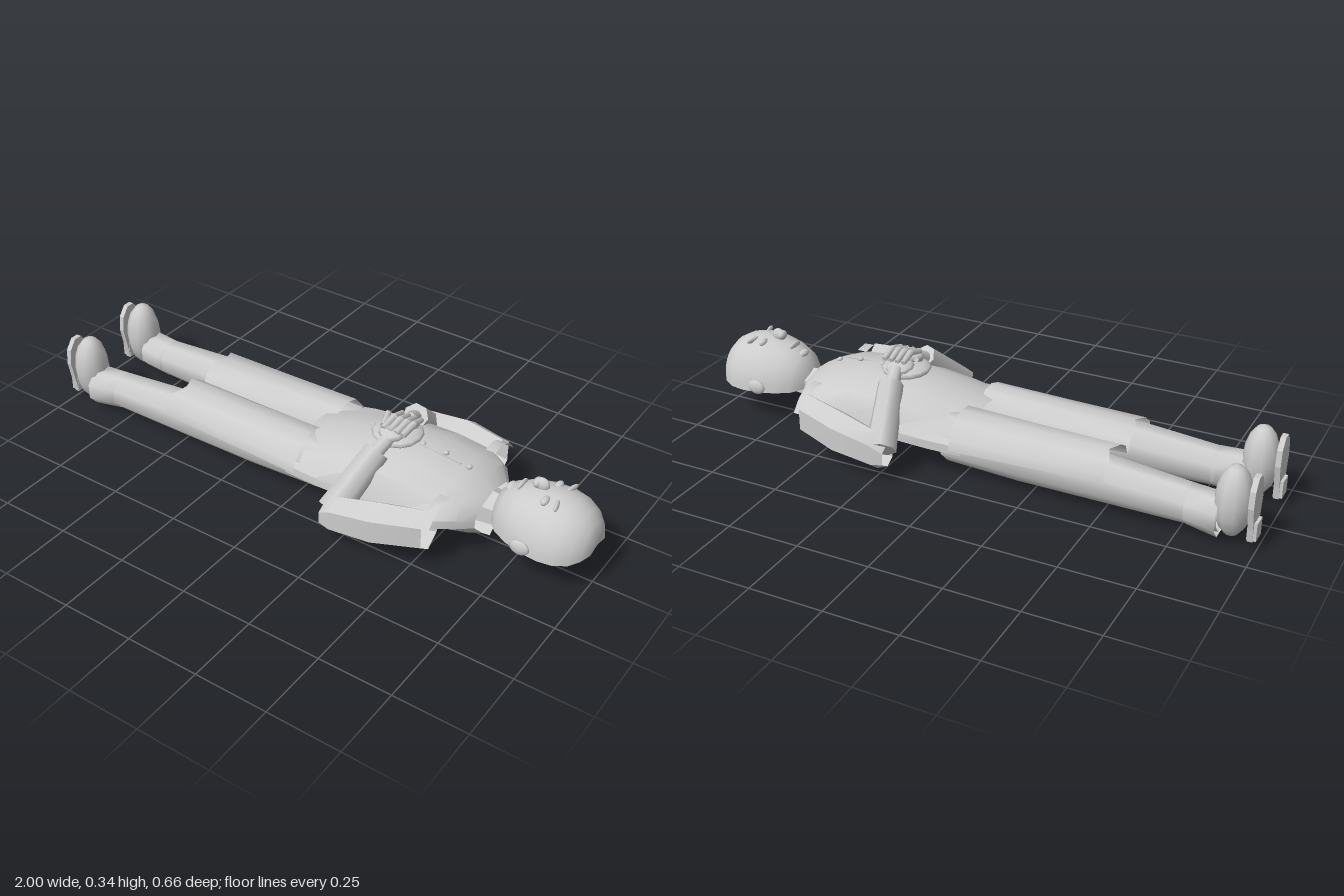
import * as THREE from 'three';
import { toCreasedNormals } from 'three/addons/utils/BufferGeometryUtils.js';

const V = (x, y, z) => new THREE.Vector3(x, y, z);

export function createModel() {
  const model = new THREE.Group();
  const grey = new THREE.MeshStandardMaterial({ color: 0xcccccc, side: THREE.DoubleSide });
  grey.name = 'plain grey';

  const add = (name, geo, parent = model) => {
    const m = new THREE.Mesh(geo, grey);
    m.name = name;
    parent.add(m);
    return m;
  };

  // Skin over rows of points, open at the ends
  const skin = (rows, closed, crease = 0.7) => {
    const pos = [], n = rows[0].length, span = closed ? n : n - 1;
    for (let i = 0; i < rows.length - 1; i++) {
      for (let j = 0; j < span; j++) {
        const k = (j + 1) % n;
        const a = rows[i][j], b = rows[i][k], c = rows[i + 1][k], d = rows[i + 1][j];
        for (const p of [a, b, c, a, c, d]) pos.push(p.x, p.y, p.z);
      }
    }
    const g = new THREE.BufferGeometry();
    g.setAttribute('position', new THREE.Float32BufferAttribute(pos, 3));
    g.computeVertexNormals();
    return toCreasedNormals(g, crease);
  };

  // Ring across x: centre y, z and half sizes
  const ring = ([x, y, z, ry, rz], sides) => Array.from({ length: sides }, (_, i) => {
    const a = (i + 0.5) / sides * Math.PI * 2;
    return V(x, y + ry * Math.sin(a), z + rz * Math.cos(a));
  });
  const tube = (list, sides, crease) => skin(list.map(s => ring(s, sides)), true, crease);

  // Tapered limb between two points
  const limb = (name, a, b, ra, rb, sides, parent, open = false) => {
    const m = add(name, new THREE.CylinderGeometry(rb, ra, a.distanceTo(b), sides, 1, open), parent);
    m.position.copy(a).lerp(b, 0.5);
    m.quaternion.setFromUnitVectors(V(0, 1, 0), b.clone().sub(a).normalize());
    return m;
  };
  const ball = (name, p, s, parent, w = 12, h = 8) => {
    const m = add(name, new THREE.SphereGeometry(1, w, h), parent);
    m.position.copy(p);
    m.scale.copy(s);
    return m;
  };

  // Torso shell with a keel-shaped back: x, back y, half width, side y, chest top
  const chest = [
    [-0.02, 0.003, 0.195, 0.11, 0.205], [0.1, 0, 0.205, 0.115, 0.235], [0.27, 0, 0.205, 0.12, 0.268],
    [0.42, 0, 0.21, 0.13, 0.265], [0.54, 0.002, 0.205, 0.14, 0.245], [0.6, 0.005, 0.165, 0.14, 0.225],
    [0.64, 0.012, 0.11, 0.125, 0.195]
  ];
  add('torso', skin(chest.map(([x, b, w, s, t]) => [
    [0, b], [w * 0.5, b + (s - b) * 0.42], [w, s - 0.01], [w, s + 0.02], [w * 0.78, s + (t - s) * 0.68],
    [w * 0.4, t - 0.012], [0, t], [-w * 0.4, t - 0.012], [-w * 0.78, s + (t - s) * 0.68],
    [-w, s + 0.02], [-w, s - 0.01], [-w * 0.5, b + (s - b) * 0.42]
  ].map(([z, y]) => V(x, y, z))), true, 0.6));

  // Coat tail behind the thighs
  add('coatTail', skin([0, 1].map(i => [[-0.2, 0.11], [-0.1, 0.05], [0, 0.003], [0.1, 0.05], [0.2, 0.11]]
    .map(([z, y]) => V(i ? 0.02 : -0.19 + Math.abs(z) * 0.45, y, z))), false));

  // Neck, buttons and front seam
  add('neck', tube([[0.57, 0.13, 0, 0.065, 0.07], [0.72, 0.135, 0, 0.05, 0.058]], 6, 0.6));
  for (const x of [0.38, 0.465, 0.55]) ball('button', V(x, x > 0.5 ? 0.246 : 0.265, 0), V(0.01, 0.008, 0.01), model, 8, 6);
  const seam = add('frontSeam', new THREE.BoxGeometry(0.15, 0.005, 0.004));
  seam.position.set(0.45, 0.26, 0.01);
  seam.rotation.z = -0.07;

  // Hollow head: x, half width, rim y, top y
  const headRows = [
    [0.655, 0.025, 0.135, 0.165], [0.67, 0.065, 0.13, 0.212], [0.7, 0.097, 0.125, 0.245],
    [0.75, 0.122, 0.122, 0.268], [0.81, 0.138, 0.12, 0.281], [0.87, 0.144, 0.12, 0.283],
    [0.92, 0.136, 0.12, 0.272], [0.96, 0.113, 0.123, 0.25], [0.985, 0.082, 0.13, 0.222], [1, 0.05, 0.138, 0.19],
    [1, 0.001, 0.15, 0.152]
  ];
  const head = new THREE.Group();
  head.name = 'head';
  model.add(head);
  add('skull', skin(headRows.map(([x, w, b, t]) => Array.from({ length: 17 }, (_, i) => {
    const a = i / 16 * Math.PI;
    return V(x, b + (t - b) * Math.sin(a), w * Math.cos(a));
  })), false, 1.2), head);

  // Face
  ball('nose', V(0.8, 0.288, 0), V(0.025, 0.024, 0.015), head);
  ball('noseTip', V(0.785, 0.29, 0), V(0.014, 0.017, 0.02), head);
  ball('mouth', V(0.735, 0.262, 0), V(0.008, 0.012, 0.03), head);
  ball('chin', V(0.7, 0.238, 0), V(0.015, 0.012, 0.025), head);
  for (const s of [1, -1]) {
    ball('eye', V(0.835, 0.27, s * 0.045), V(0.013, 0.014, 0.022), head);
    const brow = ball('brow', V(0.875, 0.273, s * 0.05), V(0.007, 0.01, 0.03), head);
    brow.rotation.y = s * 0.25;
    ball('ear', V(0.81, 0.143, s * 0.142), V(0.034, 0.026, 0.012), head);
  }

  for (const s of [1, -1]) {
    const side = s > 0 ? 'left' : 'right';

    // Leg and trouser hem
    add(side + 'Leg', tube([
      [-0.88, 0.095, s * 0.135, 0.064, 0.056], [-0.78, 0.097, s * 0.13, 0.066, 0.062],
      [-0.52, 0.108, s * 0.125, 0.078, 0.072], [-0.2, 0.115, s * 0.112, 0.09, 0.085], [0.06, 0.12, s * 0.1, 0.09, 0.09]
    ], 8, 0.9));
    add(side + 'Hem', tube([[-0.88, 0.09, s * 0.148, 0.07, 0.06], [-0.775, 0.097, s * 0.13, 0.067, 0.064]], 8, 0.9));

    // Coat front arched over the thigh
    add(side + 'CoatFront', skin([[-0.52, 0.135, 0.207], [-0.25, 0.125, 0.213], [0.02, 0.115, 0.222]].map(([x, b, t]) =>
      [[0.003, 0.1], [0.02, 0.6], [0.06, 0.94], [0.11, 1], [0.16, 0.84], [0.2, 0.38], [0.204, 0]]
        .map(([z, f], j) => V(x + (x < -0.5 && j === 3 ? 0.02 : 0), b + (t - b) * f, s * z))), false, 0.8));

    // Shoe with the toe pointing up
    const shoe = new THREE.Group();
    shoe.name = side + 'Shoe';
    model.add(shoe);
    ball('shoeUpper', V(-0.915, 0.15, s * 0.14), V(0.06, 0.122, 0.063), shoe, 10, 8);
    const outline = [[-0.026, 0.035], [0.026, 0.035], [0.032, 0.08], [0.048, 0.16], [0.042, 0.215], [0.015, 0.25],
      [-0.015, 0.25], [-0.042, 0.215], [-0.048, 0.16], [-0.032, 0.08]];
    const sole = add('sole', new THREE.ExtrudeGeometry(
      new THREE.Shape(outline.map(p => new THREE.Vector2(...p))), { depth: 0.018, bevelEnabled: false }), shoe);
    sole.rotation.y = Math.PI / 2;
    sole.position.set(-0.99, 0, s * 0.14);
    const heel = add('heel', new THREE.BoxGeometry(0.03, 0.06, 0.052), shoe);
    heel.position.set(-0.985, 0.07, s * 0.14);

    // Upper sleeve, folded at the elbow
    add(side + 'UpperSleeve', tube([
      [0.2, 0.095, s * 0.288, 0.04, 0.038], [0.24, 0.105, s * 0.285, 0.068, 0.05],
      [0.39, 0.125, s * 0.267, 0.08, 0.064], [0.545, 0.14, s * 0.225, 0.075, 0.056]
    ], 6, 0.5));
    add(side + 'ShoulderCap', skin([0.53, 0.565].map(x =>
      [[0.275, 0.16], [0.24, 0.2], [0.19, 0.225], [0.14, 0.22]].map(([z, y]) => V(x, y, s * z))), false));

    // Forearm, cuff and hand
    limb(side + 'Forearm', V(0.225, 0.11, s * 0.285), V(0.28, 0.265, s * 0.115), 0.052, 0.043, 7, model);
    limb(side + 'Wrist', V(0.275, 0.255, s * 0.12), V(0.29, 0.288, s * 0.06), 0.026, 0.024, 8, model);
    const palm = ball(side + 'Palm', V(0.29, s > 0 ? 0.3 : 0.288, s * 0.035), V(0.048, 0.02, 0.052), model, 10, 6);
    palm.rotation.x = s * 0.15;
  }

  // Hands stacked on the belly, upper fingers across the lower hand
  ball('handRest', V(0.285, 0.272, 0), V(0.085, 0.022, 0.085), model, 14, 8);
  for (let i = 0; i < 4; i++) {
    const x = 0.265 + i * 0.024;
    limb('finger', V(x, 0.312, 0.058), V(x + 0.006, 0.327, 0.005), 0.011, 0.012, 6, model);
    limb('fingerTip', V(x + 0.006, 0.327, 0.005), V(x + 0.004, 0.312, -0.05), 0.012, 0.009, 6, model);
  }
  limb('thumb', V(0.25, 0.3, 0.03), V(0.235, 0.318, -0.02), 0.013, 0.009, 6, model);

  return model;
}
